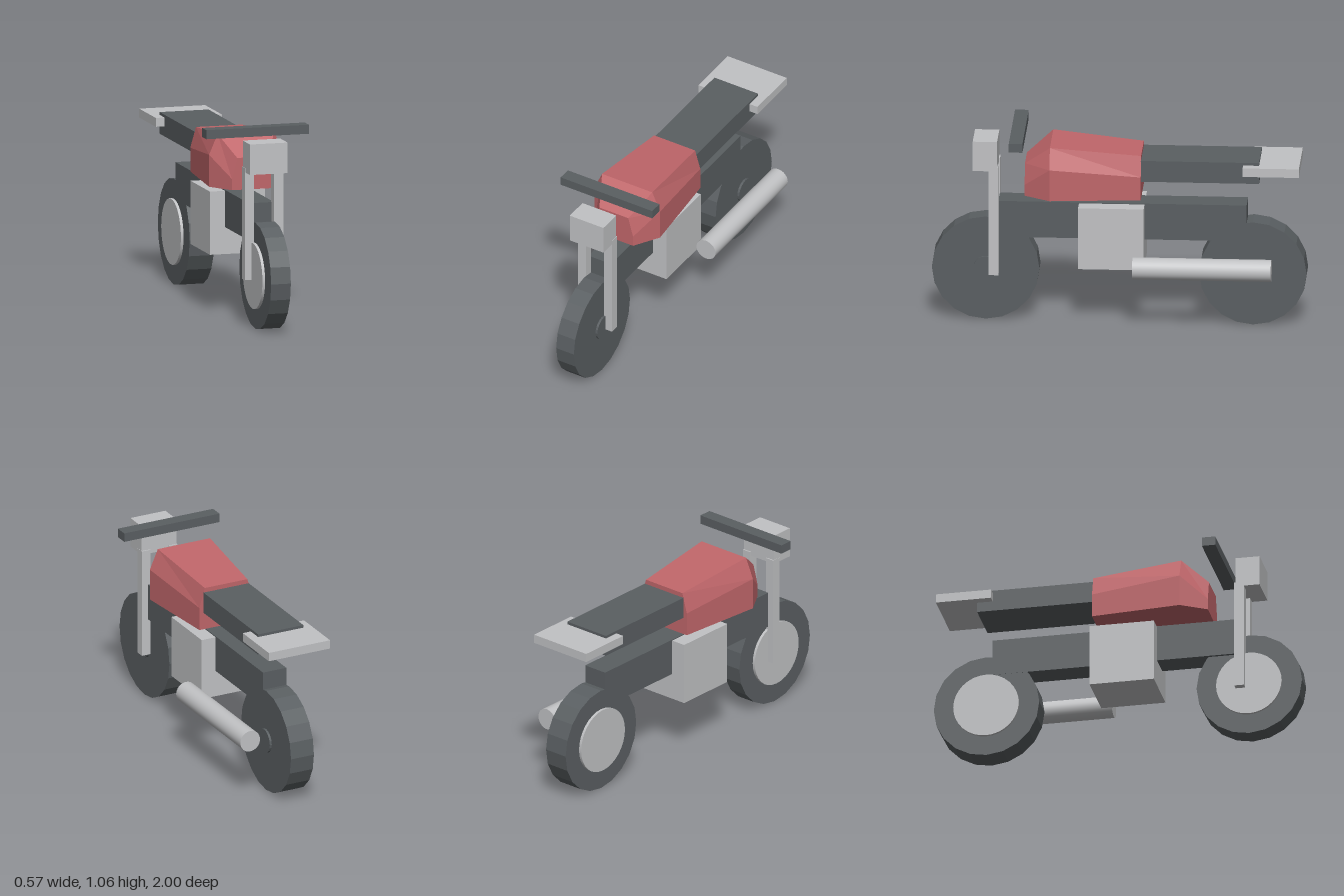
import * as THREE from 'three';

const material = (name, color) => {
  const m = new THREE.MeshStandardMaterial({ color });
  m.name = name;
  return m;
};

export function createModel() {
  const model = new THREE.Group();
  model.name = 'motorbike';
  const dark = material('dark grey', 0x5a5f62);
  const light = material('light grey', 0xc1c2c4);
  const red = material('tank red', 0xc0666a);

  const add = (name, geometry, mat) => {
    const mesh = new THREE.Mesh(geometry, mat);
    mesh.name = name;
    model.add(mesh);
    return mesh;
  };

  // Box given by its limits on each axis
  const box = (name, mat, [x0, x1], [y0, y1], [z0, z1]) => {
    const mesh = add(name, new THREE.BoxGeometry(x1 - x0, y1 - y0, z1 - z0), mat);
    mesh.position.set((x0 + x1) / 2, (y0 + y1) / 2, (z0 + z1) / 2);
  };

  // Disc lying across the bike, from x0 to x1
  const disc = (name, mat, radius, x0, x1, y, z, sides, flat) => {
    let g = new THREE.CylinderGeometry(radius, radius, x1 - x0, sides);
    g.rotateZ(Math.PI / 2);
    if (flat) {
      g = g.toNonIndexed();
      g.computeVertexNormals();
    }
    add(name, g, mat).position.set((x0 + x1) / 2, y, z);
  };

  // Wheels with a small hub on the left and a large brake disc on the right
  const wheel = (name, z, half) => {
    disc(name + 'Tyre', dark, 0.287, -half, half, 0.287, z, 20, true);
    disc(name + 'Hub', dark, 0.066, half, half + 0.012, 0.287, z, 20, true);
    disc(name + 'BrakeDisc', light, 0.178, -half - 0.015, -half, 0.287, z, 32, false);
  };
  wheel('front', 0.714, 0.055);
  wheel('rear', -0.713, 0.069);

  // Frame, engine, seat and tail
  box('frame', dark, [-0.07, 0.07], [0.467, 0.668], [-0.68, 0.645]);
  box('engine', light, [-0.154, 0.154], [0.321, 0.663], [-0.135, 0.215]);
  box('seat', dark, [-0.136, 0.136], [0.813, 0.93], [-0.75, -0.095]);
  box('tailPlate', light, [-0.184, 0.184], [0.867, 0.915], [-0.965, -0.665]);

  // Fork legs, headlight and handlebar
  for (const s of [-1, 1]) {
    const inner = s * 0.056, outer = s * 0.107;
    box(s > 0 ? 'leftForkLeg' : 'rightForkLeg', light,
      [Math.min(inner, outer), Math.max(inner, outer)], [0.262, 0.868], [0.643, 0.695]);
  }
  box('headlight', light, [-0.105, 0.105], [0.845, 1.01], [0.65, 0.78]);
  box('handlebar', dark, [-0.286, 0.286], [1.014, 1.063], [0.504, 0.577]);

  // Exhaust pipe on the left side
  const pipe = new THREE.CylinderGeometry(0.059, 0.059, 0.74, 32);
  pipe.rotateX(Math.PI / 2);
  add('exhaust', pipe, light).position.set(0.22, 0.354, -0.45);

  // Tank lofted through three sections: z, side half-width, shoulder y, top half-width, top y
  const sections = [
    [-0.12, 0.16, 0.845, 0.128, 0.955],
    [0.365, 0.205, 0.89, 0.157, 1.0],
    [0.502, 0.12, 0.778, 0.09, 0.89],
  ].map(([z, w, shoulder, t, top]) => [
    [w, 0.717, z], [w, shoulder, z], [t, top, z],
    [-t, top, z], [-w, shoulder, z], [-w, 0.717, z],
  ]);
  const points = [];
  const tri = (a, b, c) => points.push(...a, ...b, ...c);
  for (let i = 0; i < 2; i++) {
    const a = sections[i], b = sections[i + 1];
    for (let j = 0; j < 6; j++) {
      const k = (j + 1) % 6;
      tri(a[j], b[k], b[j]);
      tri(a[j], a[k], b[k]);
    }
  }
  const [back, , front] = sections;
  for (let j = 1; j < 5; j++) {
    tri(front[0], front[j], front[j + 1]);
    tri(back[0], back[j + 1], back[j]);
  }
  const tank = new THREE.BufferGeometry();
  tank.setAttribute('position', new THREE.Float32BufferAttribute(points, 3));
  tank.computeVertexNormals();
  add('fuelTank', tank, red);

  return model;
}
